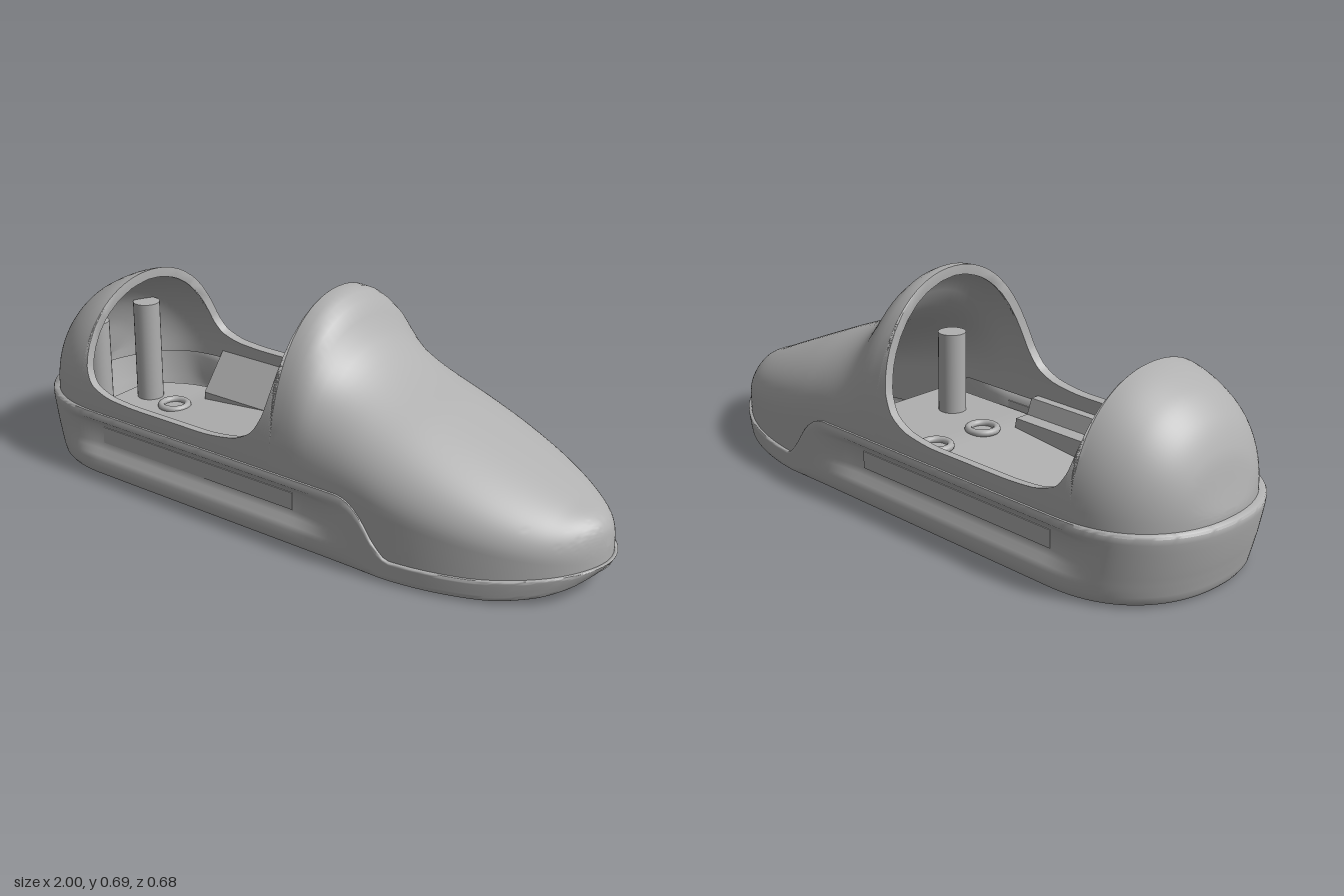
import * as THREE from 'three';
import { mergeGeometries, toCreasedNormals } from 'three/addons/utils/BufferGeometryUtils.js';

const grey = new THREE.MeshStandardMaterial({ color: 0xb0b0b0, side: THREE.DoubleSide });
grey.name = 'grey plastic';

const { smoothstep, clamp } = THREE.MathUtils;

// Monotone cubic through a few [x, value] points.
function profile(p) {
  const n = p.length;
  const slope = p.slice(1).map((q, i) => (q[1] - p[i][1]) / (q[0] - p[i][0]));
  const tan = p.map((_, i) => {
    if (i === 0) return slope[0];
    if (i === n - 1) return slope[n - 2];
    const a = slope[i - 1], b = slope[i];
    return a * b <= 0 ? 0 : (2 * a * b) / (a + b);
  });
  return (x) => {
    x = clamp(x, p[0][0], p[n - 1][0]);
    let i = 0;
    while (i < n - 2 && x > p[i + 1][0]) i++;
    const d = p[i + 1][0] - p[i][0], t = (x - p[i][0]) / d, u = 1 - t;
    return p[i][1] * (1 + 2 * t) * u * u + tan[i] * d * t * u * u
      + p[i + 1][1] * t * t * (3 - 2 * t) - tan[i + 1] * d * t * t * u;
  };
}

// Surface through equal-length cross-sections.
function loft(sections) {
  const m = sections[0].length, index = [];
  for (let i = 0; i < sections.length - 1; i++) {
    for (let j = 0; j < m - 1; j++) {
      const a = i * m + j, c = a + m;
      index.push(a, a + 1, c, a + 1, c + 1, c);
    }
  }
  const g = new THREE.BufferGeometry();
  g.setAttribute('position', new THREE.Float32BufferAttribute(sections.flat(2), 3));
  g.setIndex(index);
  return g;
}

function stations(x0, x1, n, extra = []) {
  const xs = [...extra];
  for (let i = 0; i <= n; i++) xs.push((x0 + x1) / 2 - ((x1 - x0) / 2) * Math.cos((Math.PI * i) / n));
  return xs.sort((a, b) => a - b);
}

// Half width in plan: round tail, long tapered nose.
function halfWidth(x) {
  if (x < -0.65) return 0.339 * Math.max(0, 1 - ((-0.65 - x) / 0.35) ** 2.4) ** 0.46;
  if (x > 0.4) return 0.339 * Math.max(0, 1 - ((x - 0.4) / 0.6) ** 2) ** 0.53;
  return 0.339;
}
const TAIL = -0.975, NOSE = 0.99;
const shellWidth = (x) => 0.972 * halfWidth(x < 0 ? -x / TAIL : x / NOSE);

const seam = profile([[-1, 0.22], [0.31, 0.22], [0.35, 0.208], [0.39, 0.175], [0.45, 0.095],
  [0.49, 0.066], [0.7, 0.068], [0.9, 0.083], [1, 0.096]]);
const keel = profile([[-1, 0.004], [0.76, 0.004], [0.88, 0.017], [0.95, 0.038], [1, 0.068]]);
const roof = profile([[TAIL, 0.235], [-0.962, 0.29], [-0.94, 0.385], [-0.89, 0.475], [-0.82, 0.535], [-0.7, 0.586],
  [0.06, 0.694], [0.1, 0.692], [0.15, 0.66], [0.19, 0.59], [0.24, 0.535], [0.32, 0.485], [0.5, 0.412],
  [0.7, 0.328], [0.88, 0.25], [0.96, 0.214], [0.982, 0.185], [NOSE, 0.14]]);
const spring = profile([[-1, 0.225], [0.3, 0.225], [0.5, 0.19], [0.8, 0.14], [NOSE, 0.11]]);
const opening = profile([[-0.7, 0.587], [-0.69, 0.42], [-0.675, 0.345], [-0.64, 0.3], [-0.56, 0.276], [-0.45, 0.27],
  [-0.2, 0.27], [-0.08, 0.283], [-0.01, 0.315], [0.03, 0.375], [0.05, 0.46], [0.06, 0.55], [0.07, 0.696]]);
const floorHeight = profile([[-0.7, 0.075], [0.05, 0.145]]);

// Lower hull with a long recess pressed into each side.
function hullGeometry() {
  // [height fraction, width scale, length scale, recess share]
  const rows = [[0.9, 0.955, 0.96, 0], [1, 0.96, 0.965, 0], [1, 0.992, 0.997, 0], [0.97, 1, 1, 0], [0.89, 1, 0.998, 0],
    [0.83, 1, 0.996, 0.5], [0.76, 1, 0.993, 1], [0.48, 1, 0.98, 1], [0.4, 1, 0.975, 0.75], [0.31, 1, 0.97, 0.25],
    [0.24, 1, 0.966, 0], [0.14, 0.998, 0.96, 0], [0.06, 0.988, 0.956, 0], [0.015, 0.97, 0.95, 0], [0, 0.95, 0.945, 0],
    [0, 0.5, 0.945, 0]];
  const sections = stations(-1, 1, 140).map((x) => {
    const dip = 0.028 * smoothstep(x, -0.84, -0.62) * (1 - smoothstep(x, 0.14, 0.38));
    const side = rows.map(([f, sw, sl, r]) => {
      const px = x < 0 ? x * sl : x * (0.6 + 0.4 * sl);
      return [px, keel(x) + (seam(x) - keel(x)) * f, halfWidth(x) * sw - dip * r];
    });
    return [...side, ...side.map(([a, b, c]) => [a, b, -c]).reverse()];
  });
  return toCreasedNormals(loft(sections), 1.15);
}

// Upper shell: arched sections with thickness, trimmed along the cockpit edge.
function shellGeometry() {
  const extra = [];
  for (let k = 0; k <= 14; k++) {
    extra.push(0.07 - 0.08 * (k / 14) ** 2, -0.7 + 0.08 * (k / 14) ** 2);
  }
  const xs = stations(TAIL, NOSE, 130, extra), N = 20, T = 0.03, P = 0.92;
  const halves = [1, -1].map((s) => loft(xs.map((x) => {
    const w = shellWidth(x), b = spring(x), h = Math.max(roof(x), b + 0.01);
    const open = x > -0.6999 && x < 0.0699;
    const cut = clamp((opening(x) - b) / (h - b), 0, 1);
    const end = open ? Math.asin(cut ** (1 / P)) : Math.PI / 2;
    const xi = x - Math.sign(x) * T * smoothstep(Math.abs(x), 0.75, 0.97);
    const wi = Math.max(0, w - T), hi = Math.max(b, h - T);
    const outer = [[x, seam(x) - 0.02, s * w]], inner = [[xi, seam(x) - 0.02, s * wi]];
    for (let j = 0; j <= N; j++) {
      const a = (end * j) / N, c = Math.max(0, Math.cos(a)) ** 0.95, d = Math.sin(a) ** P;
      outer.push([x, b + (h - b) * d, s * w * c]);
      inner.push([xi, b + (hi - b) * d, s * wi * c]);
    }
    const section = [...outer, ...inner.reverse()];
    return s > 0 ? section.reverse() : section;
  })));
  return toCreasedNormals(mergeGeometries(halves), 0.6);
}

// Prism running along x from a (z, y) outline.
function rail(points, x0, x1) {
  const shape = new THREE.Shape(points.map(([z, y]) => new THREE.Vector2(-z, y)));
  const g = new THREE.ExtrudeGeometry(shape, { depth: x1 - x0, bevelEnabled: false });
  return g.rotateY(Math.PI / 2).translate(x0, 0, 0);
}

export function createModel() {
  const model = new THREE.Group();
  model.name = 'bobsled shell';
  const add = (name, geometry, x = 0, y = 0, z = 0) => {
    const mesh = new THREE.Mesh(geometry, grey);
    mesh.name = name;
    mesh.position.set(x, y, z);
    model.add(mesh);
  };

  add('lowerHull', hullGeometry());
  add('upperShell', shellGeometry());

  // Interior floor, rising gently toward the nose
  const floor = loft(stations(-0.92, 0.42, 48).map((x) => {
    const z = Math.max(0, shellWidth(x) - 0.03), y = floorHeight(x);
    return [[x, y, -z], [x, y, z]];
  }));
  floor.computeVertexNormals();
  add('floor', floor);

  for (const s of [1, -1]) {
    // Sloped side supports and stepped rails beside the seat space
    const mirror = (pts) => pts.map(([z, y]) => [z * s, y]);
    add('sideRamp', rail(mirror([[0.2, 0.07], [0.2, 0.105], [0.302, 0.23], [0.302, 0.07]]), -0.65, -0.33));
    add('sideRail', rail(mirror([[0.19, 0.1], [0.302, 0.1], [0.302, 0.22], [0.27, 0.22], [0.25, 0.17], [0.2, 0.17]]), -0.33, 0));
    // Flat panel in the side recess
    add('sidePanel', new THREE.BoxGeometry(0.76, 0.054, 0.006), -0.24, 0.138, s * 0.311);
    for (const x of [-0.7, 0.05]) {
      const ring = new THREE.TorusGeometry(0.045, 0.012, 10, 28).rotateX(Math.PI / 2);
      add('screwRing', ring, x, floorHeight(x) + 0.005, s * 0.1);
    }
    // Screw posts under the tail dome and the nose
    for (const [x, z, top] of [[-0.83, 0.12, 0.42], [0.25, 0.16, 0.41]]) {
      const foot = floorHeight(x);
      add('post', new THREE.CylinderGeometry(0.045, 0.045, top - foot, 24), x, (top + foot) / 2, s * z);
    }
  }

  // Two thin pads under the hull, following its upswept nose
  const pad = (name, x0, x1) => {
    const sections = stations(x0, x1, 48).map((x) => {
      const t = Math.min(1, Math.abs(2 * x - x0 - x1) / (x1 - x0));
      const z = Math.min(0.305, 0.9 * halfWidth(x)) * (1 - t ** 3) ** 0.5, y = keel(x);
      return [[x, y, z], [x, y - 0.004, z], [x, y - 0.004, -z], [x, y, -z]];
    });
    add(name, toCreasedNormals(loft(sections), 0.6));
  };
  pad('frontPad', -0.25, 0.92);
  pad('rearPad', -0.93, -0.27);

  return model;
}
